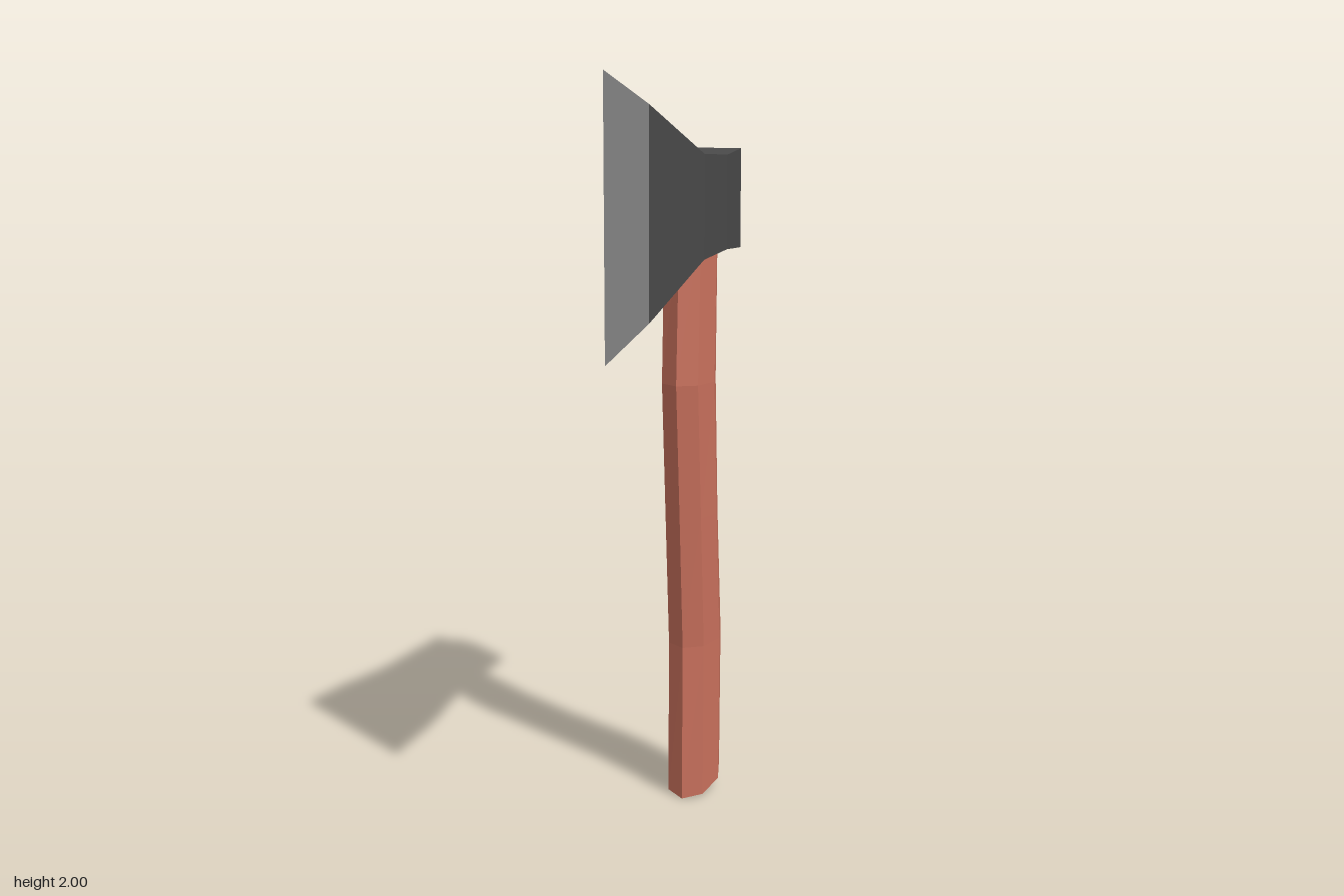
import * as THREE from 'three';

// Skins a run of rings (each counter-clockwise about the direction of travel) with flat faces.
function loft(rings, capStart, capEnd) {
  const pos = [];
  const tri = (a, b, c) => {
    const area = b.clone().sub(a).cross(c.clone().sub(a)).length();
    if (area > 1e-7) for (const p of [a, b, c]) pos.push(p.x, p.y, p.z);
  };
  const n = rings[0].length;
  for (let i = 0; i < rings.length - 1; i++) {
    for (let k = 0; k < n; k++) {
      const j = (k + 1) % n;
      const [a, b, c, d] = [rings[i][k], rings[i][j], rings[i + 1][j], rings[i + 1][k]];
      tri(a, b, c);
      tri(a, c, d);
    }
  }
  const first = rings[0], last = rings[rings.length - 1];
  for (let k = 1; k < n - 1; k++) {
    if (capStart) tri(first[0], first[k + 1], first[k]);
    if (capEnd) tri(last[0], last[k], last[k + 1]);
  }
  const geometry = new THREE.BufferGeometry();
  geometry.setAttribute('position', new THREE.Float32BufferAttribute(pos, 3));
  geometry.computeVertexNormals();
  return geometry;
}

// Rectangular head section: depth z, half width, bottom and top heights.
const headRing = ([z, w, y0, y1]) =>
  [[w, y0], [w, y1], [-w, y1], [-w, y0]].map(([x, y]) => new THREE.Vector3(x, y, z));

// Eight-sided handle section: front z and height, back z and height.
function handleRing([zf, yf, zb, yb]) {
  const ring = [];
  for (let k = 0; k < 8; k++) {
    const t = (k / 8) * Math.PI * 2;
    const f = (1 + Math.cos(t)) / 2; // 1 at the front, 0 at the back
    ring.push(new THREE.Vector3(0.072 * Math.sin(t), yb + (yf - yb) * f, zb + (zf - zb) * f));
  }
  return ring;
}

function part(name, geometry, color) {
  const mesh = new THREE.Mesh(geometry, new THREE.MeshStandardMaterial({ color, flatShading: true }));
  mesh.name = name;
  return mesh;
}

export function createModel() {
  const group = new THREE.Group();
  group.name = 'axe';

  // Head from the poll at the back to the start of the bevel
  const bevel = [0.237, 0.043, 1.39, 1.92];
  const head = [
    [-0.425, 0.068, 1.52, 1.79],
    [-0.25, 0.085, 1.53, 1.78],
    [-0.06, 0.085, 1.52, 1.79],
    bevel,
  ].map(headRing);
  group.add(part('axeHead', loft(head, true, false), 0x4a4a4a));

  // Ground bevel tapering to the cutting edge
  const blade = [bevel, [0.425, 0, 1.31, 2]].map(headRing);
  group.add(part('cuttingEdge', loft(blade, false, false), 0x848484));

  // Curved handle with a slanted butt, its top buried in the head
  const handle = [
    [-0.138, 0, -0.347, 0.065],
    [-0.142, 0.44, -0.354, 0.45],
    [-0.115, 0.81, -0.317, 0.81],
    [-0.085, 1.18, -0.296, 1.18],
    [-0.108, 1.6, -0.304, 1.6],
  ].map(handleRing);
  group.add(part('handle', loft(handle, true, true), 0xc8705c));

  return group;
}
